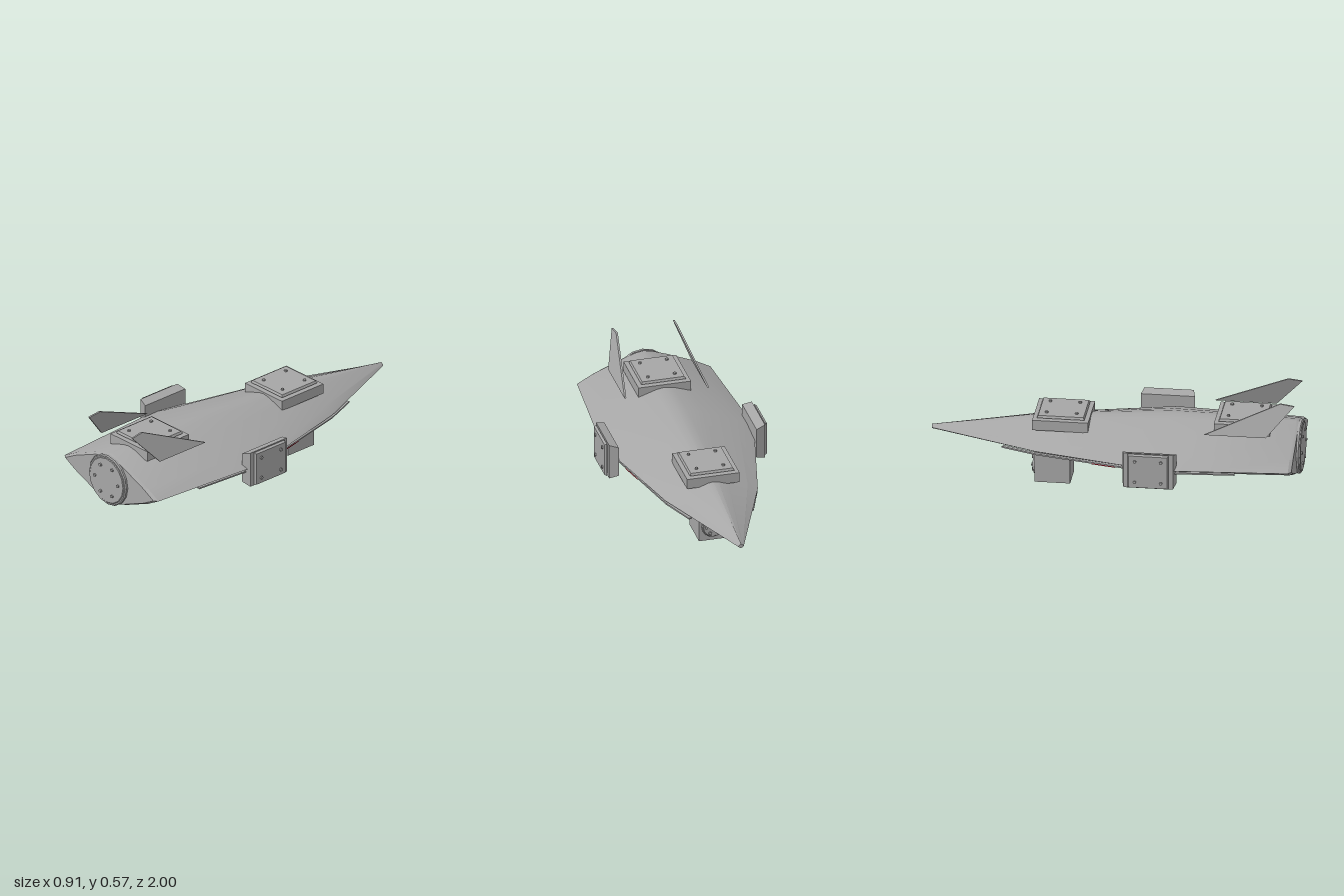
import * as THREE from 'three';
import { toCreasedNormals } from 'three/addons/utils/BufferGeometryUtils.js';

const grey = new THREE.MeshStandardMaterial({ color: 0xa6a6a6 });
grey.name = 'hull grey';
const red = new THREE.MeshStandardMaterial({ color: 0xa01828 });
red.name = 'light red';

const MID = 0.255; // height of the hull's sharp side edges

function mesh(name, geometry, material = grey) {
  const m = new THREE.Mesh(geometry, material);
  m.name = name;
  return m;
}

// Hull stations: z, half width, top y, bottom y
const STATIONS = [
  [-1, 0.015, 0.27, 0.245],
  [-0.41, 0.255, 0.358, 0.163],
  [0.27, 0.42, 0.409, 0.1],
  [0.5, 0.402, 0.408, 0.102],
  [0.955, 0.368, 0.403, 0.107],
  [0.972, 0.345, 0.395, 0.115],
];

// Lens-shaped cross-sections joined in a loop, closed at both ends
function hullGeometry() {
  const quarter = [[1, 0], [0.78, 0.3], [0.345, 0.75], [0.12, 0.95], [0, 1]];
  const upper = [...quarter, ...quarter.slice(0, -1).reverse().map(([x, y]) => [-x, y])];
  const outline = [...upper, ...upper.slice(1, -1).reverse().map(([x, y]) => [x, -y])];
  const n = outline.length;
  const rings = STATIONS.map(([z, w, top, bottom]) => outline.map(([x, y]) =>
    [x * w, MID + y * (y > 0 ? top - MID : MID - bottom), z]));
  const pos = [];
  const tri = (...p) => p.forEach((v) => pos.push(...v));
  const last = rings.length - 1;
  for (let j = 0; j < n; j++) {
    const k = (j + 1) % n;
    for (let i = 0; i < last; i++) {
      const a = rings[i], b = rings[i + 1];
      tri(a[j], a[k], b[j]);
      tri(a[k], b[k], b[j]);
    }
    tri([0, MID, STATIONS[0][0]], rings[0][k], rings[0][j]);
    tri([0, MID, STATIONS[last][0]], rings[last][j], rings[last][k]);
  }
  const g = new THREE.BufferGeometry();
  g.setAttribute('position', new THREE.Float32BufferAttribute(pos, 3));
  return toCreasedNormals(g, 0.5);
}

function halfWidth(z) {
  const i = Math.max(1, STATIONS.findIndex((s) => s[0] >= z));
  const [a, b] = [STATIONS[i - 1], STATIONS[i]];
  return THREE.MathUtils.lerp(a[1], b[1], (z - a[0]) / (b[0] - a[0]));
}

// Block standing on y = 0 whose top may differ in size from its base
function block(w, d, h, topW = w, topD = d) {
  const g = new THREE.BoxGeometry(w, h, d).translate(0, h / 2, 0);
  const p = g.attributes.position;
  for (let i = 0; i < p.count; i++) {
    if (p.getY(i) > h / 2) p.setXYZ(i, p.getX(i) * topW / w, h, p.getZ(i) * topD / d);
  }
  const flat = g.toNonIndexed();
  flat.computeVertexNormals();
  return flat;
}

function bolt(x, y, z) {
  const b = mesh('bolt', new THREE.CylinderGeometry(0.009, 0.009, 0.016, 6).toNonIndexed());
  b.geometry.computeVertexNormals();
  b.position.set(x, y, z);
  return b;
}

// Mounting pod: base block, bevelled cover plate and four bolts, facing +y
function pod(name, { base, top = base, height, plate, boltX, boltZ }) {
  const g = new THREE.Group();
  g.name = name;
  g.add(mesh('podBase', block(base[0], base[1], height, top[0], top[1])));
  const neck = mesh('podNeck', block(plate[0] - 0.025, plate[1] - 0.025, 0.006));
  neck.position.y = height;
  const cover = mesh('podCover', block(plate[0], plate[1], 0.013, plate[0] - 0.012, plate[1] - 0.012));
  cover.position.y = height + 0.005;
  g.add(neck, cover);
  for (const sx of [-1, 1]) for (const sz of [-1, 1]) {
    g.add(bolt(sx * boltX, height + 0.018, sz * boltZ));
  }
  return g;
}

// Round bolted cap facing +z: rim, raised face and six bolts
function cap(name, r, depth, sides, boltR) {
  const g = new THREE.Group();
  g.name = name;
  const profile = [[0, 0], [r, 0], [r, depth * 0.6], [r * 0.96, depth * 0.85],
    [r * 0.91, depth * 0.85], [r * 0.88, depth], [0, depth]];
  const lathe = new THREE.LatheGeometry(profile.map(([x, y]) => new THREE.Vector2(x, y)), sides);
  g.add(mesh('capDisc', toCreasedNormals(lathe, 0.2)));
  for (let i = 0; i < 6; i++) {
    const a = i * Math.PI / 3;
    g.add(bolt(boltR * Math.cos(a), depth, boltR * Math.sin(a)));
  }
  g.rotation.x = Math.PI / 2;
  return g;
}

// Swept fin plate leaning inwards, on the left side
function finGeometry() {
  const pts = [[0.49, 0.395], [0.82, 0.395], [0.965, 0.56], [0.89, 0.57]];
  const shape = new THREE.Shape(pts.map(([z, y]) => new THREE.Vector2(-z, y)));
  const g = new THREE.ExtrudeGeometry(shape, { depth: 0.01, bevelEnabled: false });
  g.rotateY(Math.PI / 2);
  const p = g.attributes.position;
  for (let i = 0; i < p.count; i++) {
    p.setX(i, p.getX(i) + 0.223 - (p.getY(i) - 0.395) * 0.36);
  }
  g.computeVertexNormals();
  return g;
}

// Narrow strip running just below the hull's side edge
function edgeStrip(name, zs, width, thick, y, inset, material) {
  const g = new THREE.Group();
  g.name = name;
  for (let i = 0; i < zs.length - 1; i++) {
    const a = new THREE.Vector3(halfWidth(zs[i]) * inset, y, zs[i]);
    const b = new THREE.Vector3(halfWidth(zs[i + 1]) * inset, y, zs[i + 1]);
    const s = mesh('stripSegment', new THREE.BoxGeometry(width, thick, a.distanceTo(b)), material);
    s.position.copy(a).lerp(b, 0.5);
    s.lookAt(b);
    g.add(s);
  }
  return g;
}

export function createModel() {
  const model = new THREE.Group();
  model.name = 'spacecraft';
  model.add(mesh('hull', hullGeometry()));

  // Engine cap on the blunt end
  const engine = cap('engineCap', 0.146, 0.024, 16, 0.09);
  engine.position.set(0, MID, 0.968);
  model.add(engine);

  // Two pods on the back
  for (const [name, y, z] of [['rearTopPod', 0.367, 0.68], ['noseTopPod', 0.33, -0.295]]) {
    const p = pod(name, { base: [0.29, 0.3], height: 0.057, plate: [0.245, 0.255], boltX: 0.074, boltZ: 0.08 });
    p.position.set(0, y, z);
    model.add(p);
  }

  // Belly pod
  const belly = pod('bellyPod', { base: [0.18, 0.18], height: 0.05, plate: [0.155, 0.155], boltX: 0.044, boltZ: 0.044 });
  belly.rotation.z = Math.PI;
  belly.position.set(0, 0.141, 0.18);
  model.add(belly);

  // Chin box with a round cap facing the nose
  const chin = mesh('chinBox', block(0.156, 0.19, 0.182));
  chin.position.set(0, 0, -0.345);
  const chinCap = cap('chinCap', 0.064, 0.016, 16, 0.042);
  chinCap.rotation.x = -Math.PI / 2;
  chinCap.position.set(0, 0.085, -0.438);
  model.add(chin, chinCap);

  // Parts mirrored on both sides
  for (const [side, s] of [['left', 1], ['right', -1]]) {
    const half = new THREE.Group();
    half.name = side + 'Side';
    half.scale.x = s;
    const p = pod('sidePod', { base: [0.168, 0.29], top: [0.2, 0.265], height: 0.05, plate: [0.194, 0.22], boltX: 0.06, boltZ: 0.07 });
    p.rotation.z = -Math.PI / 2;
    p.position.set(0.38, MID, 0.215);
    half.add(p, mesh('fin', finGeometry()));
    half.add(edgeStrip('edgeRail', [0.67, 0.5, 0.27, -0.41, -0.6], 0.02, 0.008, 0.237, 0.95, grey));
    half.add(edgeStrip('edgeLight', [0.03, -0.1], 0.022, 0.005, 0.233, 0.95, red));
    model.add(half);
  }
  return model;
}
